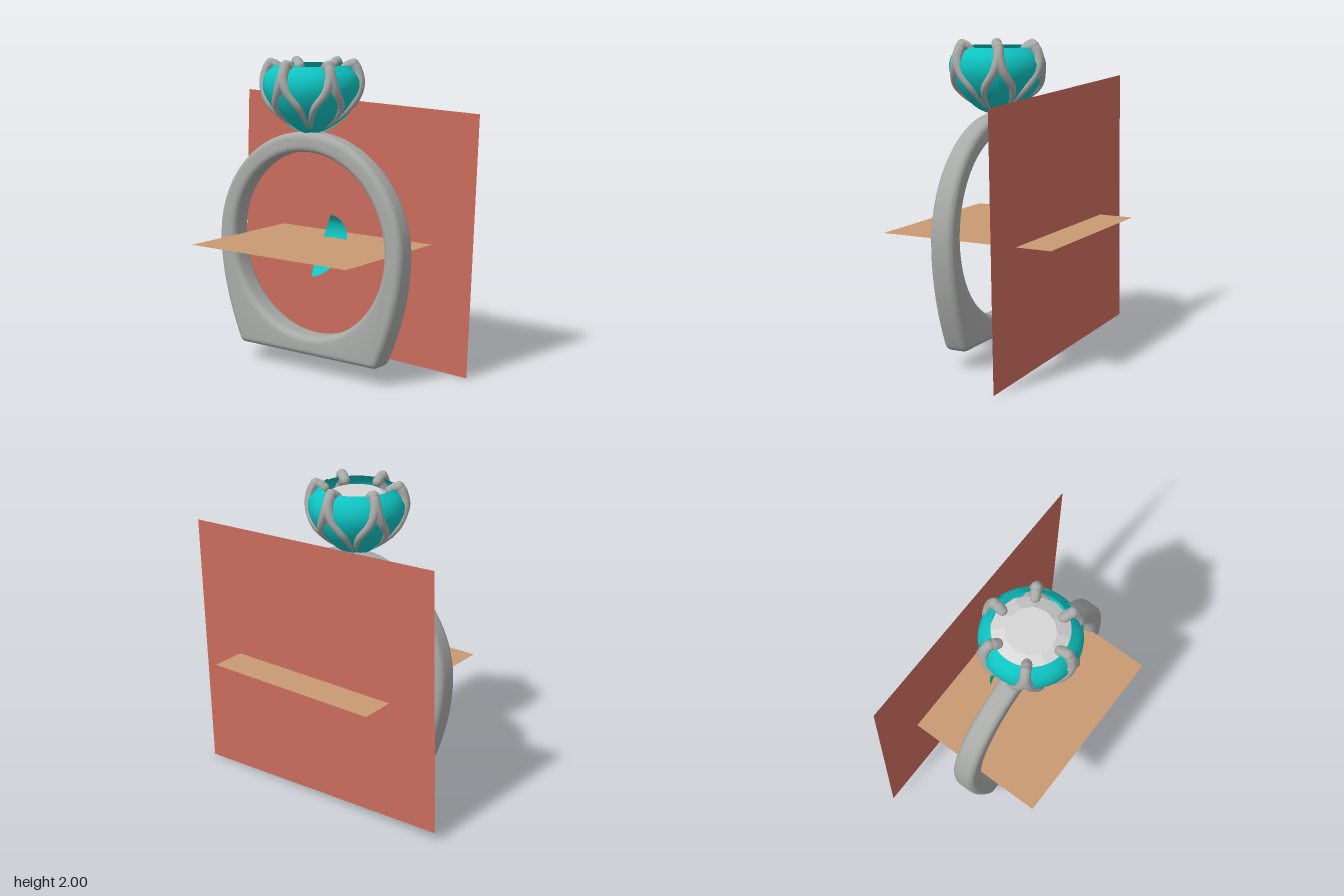
import * as THREE from 'three';
import { mergeVertices, toCreasedNormals } from 'three/addons/utils/BufferGeometryUtils.js';

const material = (name, color, extra = {}) => {
  const m = new THREE.MeshStandardMaterial({ color, ...extra });
  m.name = name;
  return m;
};
const both = { side: THREE.DoubleSide };
const silver = material('silver', 0xa8aaa8);
const teal = material('teal', 0x0ec4c2, both);
const crystal = material('crystal', 0xd6d6d6, { flatShading: true });
const red = material('red', 0xc96c5c, both);
const tan = material('tan', 0xc99a72, both);

const add = (parent, name, geometry, mat) => {
  const mesh = new THREE.Mesh(geometry, mat);
  mesh.name = name;
  parent.add(mesh);
  return mesh;
};

// Cup profile (radius, height) shared by the bowl and all petals
const profile = new THREE.SplineCurve([
  [0.01, 0], [0.1, 0.04], [0.2, 0.115], [0.265, 0.2], [0.298, 0.29], [0.285, 0.37], [0.235, 0.43],
].map(([r, y]) => new THREE.Vector2(r, y)));

// Thin leaf that follows the cup profile, facing +z
function petalGeometry(halfWidth) {
  const g = new THREE.PlaneGeometry(2, 1, 12, 24);
  const p = g.attributes.position;
  for (let i = 0; i < p.count; i++) {
    const t = THREE.MathUtils.clamp(p.getY(i) + 0.5, 0, 1);
    const c = profile.getPoint(t);
    const x = p.getX(i) * halfWidth * Math.pow(Math.max(0, Math.sin(Math.PI * t)), 0.75);
    p.setXYZ(i, x, c.y, c.x - 1.7 * x * x);
  }
  g.computeVertexNormals();
  return g;
}

// Tube narrowing toward its end
function taperedTube(points, radius, endScale) {
  const curve = new THREE.CatmullRomCurve3(points.map((q) => new THREE.Vector3(...q)));
  const segments = 28, sides = 12;
  const g = new THREE.TubeGeometry(curve, segments, radius, sides);
  const p = g.attributes.position, v = new THREE.Vector3();
  for (let i = 0; i < p.count; i++) {
    const t = Math.floor(i / (sides + 1)) / segments;
    const c = curve.getPointAt(t);
    v.fromBufferAttribute(p, i).sub(c).multiplyScalar(1 - (1 - endScale) * t * t).add(c);
    p.setXYZ(i, v.x, v.y, v.z);
  }
  g.computeVertexNormals();
  return g;
}

// Flat-bottomed band with a round finger hole, slimmer toward the top
function bandGeometry() {
  const s = new THREE.Shape();
  s.moveTo(-0.51, 0.12);
  s.lineTo(0.51, 0.12);
  s.quadraticCurveTo(0.54, 0.12, 0.556, 0.16);
  s.quadraticCurveTo(0.715, 0.52, 0.715, 0.83);
  s.absarc(0, 0.83, 0.715, 0, Math.PI, false);
  s.quadraticCurveTo(-0.715, 0.52, -0.556, 0.16);
  s.quadraticCurveTo(-0.54, 0.12, -0.51, 0.12);
  const hole = new THREE.Path();
  hole.absarc(0, 0.833, 0.587, 0, Math.PI * 2, true);
  s.holes.push(hole);
  const g = new THREE.ExtrudeGeometry(s, {
    depth: 0.08, bevelThickness: 0.045, bevelSize: 0.04, bevelOffset: -0.04,
    bevelSegments: 6, curveSegments: 40,
  });
  g.translate(0, 0, -0.04);
  const p = g.attributes.position;
  for (let i = 0; i < p.count; i++) {
    const rise = THREE.MathUtils.clamp((p.getY(i) - 0.12) / 1.42, 0, 1);
    p.setZ(i, p.getZ(i) * (1 - 0.22 * Math.pow(rise, 1.5)));
  }
  g.clearGroups();
  g.deleteAttribute('uv');
  g.deleteAttribute('normal');
  return toCreasedNormals(mergeVertices(g, 1e-4), 0.6);
}

export function createModel() {
  const model = new THREE.Group();
  model.name = 'ring';

  const band = add(model, 'band', bandGeometry(), silver);
  band.position.set(0.007, 0, 0.105);

  // Flower head
  const head = new THREE.Group();
  head.name = 'flowerHead';
  head.position.set(0.007, 1.53, 0.105);
  model.add(head);
  add(head, 'bowl', new THREE.LatheGeometry(
    profile.getPoints(24).map((q) => new THREE.Vector2(Math.max(0.002, q.x - 0.006), q.y)), 48), teal);

  // Faceted stone: pavilion, crown and table
  const stone = new THREE.Group();
  stone.name = 'stone';
  head.add(stone);
  const pavilion = add(stone, 'pavilion', new THREE.CylinderGeometry(0.245, 0.02, 0.28, 12), crystal);
  pavilion.position.y = 0.21;
  const facets = add(stone, 'stoneCrown', new THREE.CylinderGeometry(0.15, 0.245, 0.05, 12), crystal);
  facets.position.y = 0.375;

  // Six petals, with six forked prongs between them
  const petal = petalGeometry(0.14);
  const tip = new THREE.SphereGeometry(0.033, 16, 12);
  const legs = [1, -1].map((s) => taperedTube([
    [0, 0.41, 0.205], [0, 0.437, 0.255], [s * 0.006, 0.36, 0.293], [s * 0.035, 0.28, 0.292],
    [s * 0.085, 0.19, 0.25], [s * 0.08, 0.115, 0.18], [s * 0.045, 0.05, 0.1],
  ], 0.032, 0.25));
  for (let i = 0; i < 6; i++) {
    const angle = (i * Math.PI) / 3;
    const leaf = add(head, 'petal', petal, teal);
    leaf.rotation.y = angle + Math.PI / 6;
    leaf.scale.set(1.02, 1, 1.02);
    const prong = new THREE.Group();
    prong.name = 'prong';
    prong.rotation.y = angle;
    head.add(prong);
    legs.forEach((leg) => add(prong, 'prongLeg', leg, silver));
    add(prong, 'prongTip', tip, silver).position.set(0, 0.437, 0.258);
    const inner = add(prong, 'prongInnerTip', tip, silver);
    inner.position.set(0, 0.41, 0.205);
    inner.scale.setScalar(0.95);
  }

  // Single loose petal inside the band
  const loose = add(model, 'loosePetal', petalGeometry(0.11), teal);
  loose.position.set(0.007, 0.618, 0.105);
  loose.rotation.y = Math.PI;
  loose.scale.set(0.87, 0.86, 0.9);

  // Upright and level panels
  const upright = add(model, 'uprightPanel', new THREE.PlaneGeometry(1.825, 1.67), red);
  upright.position.set(0, 0.87, -0.345);
  upright.rotation.z = -0.034;
  const level = add(model, 'levelPanel', new THREE.PlaneGeometry(1.2, 1.15), tan);
  level.position.set(0.013, 0.83, 0);
  level.rotation.x = -Math.PI / 2;
  return model;
}
